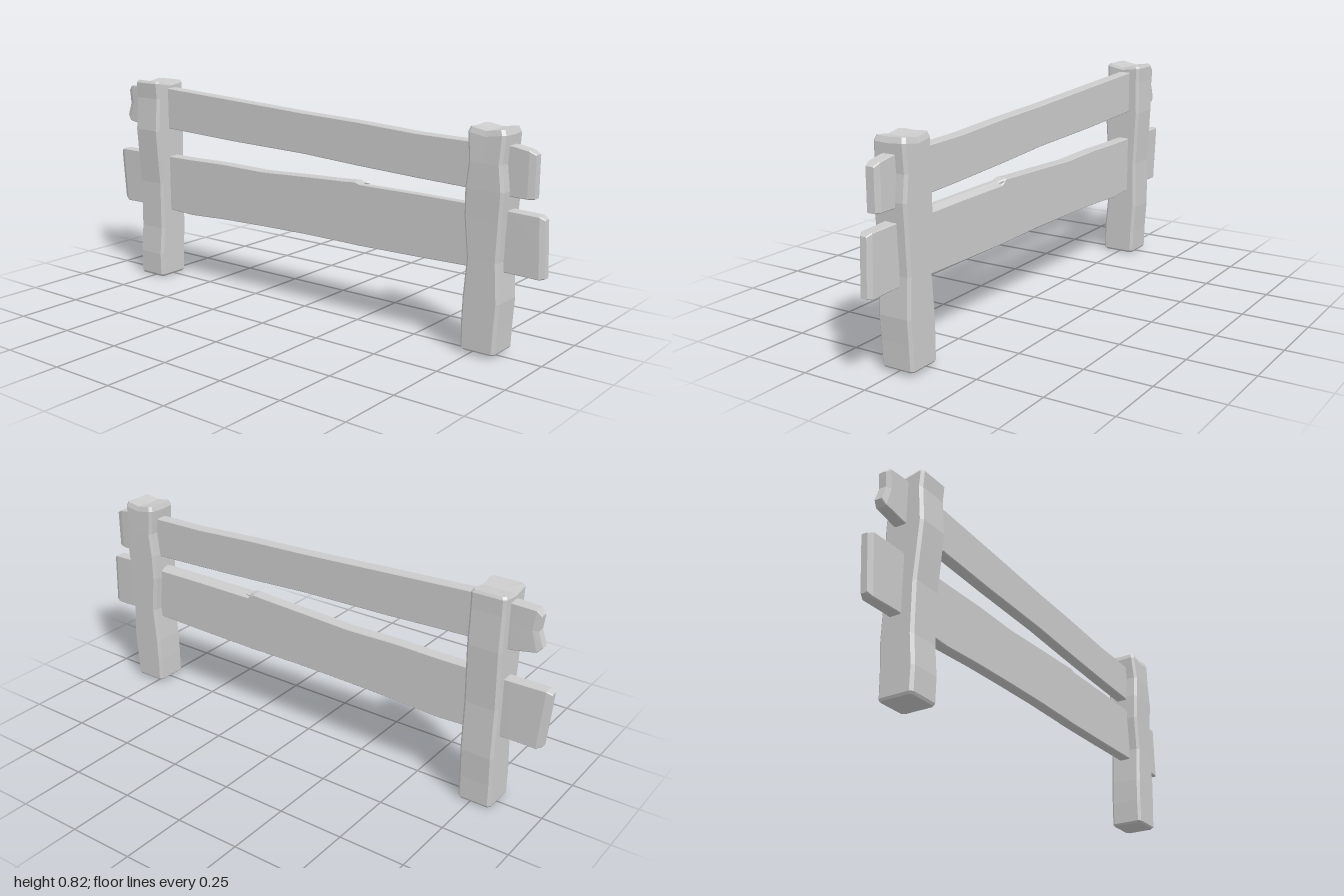
import * as THREE from 'three';

const material = new THREE.MeshStandardMaterial({ color: 0xcccccc, flatShading: true, side: THREE.DoubleSide });

// Bevelled rectangle, counter-clockwise, with a midpoint on every side.
function ring(u0, u1, v0, v1, c) {
  const um = (u0 + u1) / 2, vm = (v0 + v1) / 2;
  return [
    [u0 + c, v0], [um, v0], [u1 - c, v0], [u1, v0 + c], [u1, vm], [u1, v1 - c],
    [u1 - c, v1], [um, v1], [u0 + c, v1], [u0, v1 - c], [u0, vm], [u0, v0 + c],
  ];
}

// Skin sections [t, u0, u1, v0, v1, bevel] into a closed timber; place(u, v, t) gives x, y, z.
function timber(name, sections, place) {
  const pos = [], index = [], n = 12, last = sections.length - 1;
  for (const [t, u0, u1, v0, v1, c] of sections) {
    for (const [u, v] of ring(u0, u1, v0, v1, c)) pos.push(...place(u, v, t));
  }
  for (let s = 0; s < last; s++) {
    for (let i = 0; i < n; i++) {
      const a = s * n + i, b = s * n + (i + 1) % n;
      index.push(a, b, b + n, a, b + n, a + n);
    }
  }
  // End caps fan out from a centre point
  for (const s of [0, last]) {
    const [t, u0, u1, v0, v1] = sections[s];
    const centre = pos.length / 3;
    pos.push(...place((u0 + u1) / 2, (v0 + v1) / 2, t));
    for (let i = 0; i < n; i++) {
      const a = s * n + i, b = s * n + (i + 1) % n;
      if (s === 0) index.push(centre, b, a);
      else index.push(centre, a, b);
    }
  }
  const g = new THREE.BufferGeometry();
  g.setAttribute('position', new THREE.Float32BufferAttribute(pos, 3));
  g.setIndex(index);
  const flat = g.toNonIndexed();
  flat.computeVertexNormals();
  const mesh = new THREE.Mesh(flat, material);
  mesh.name = name;
  return mesh;
}

// Post from rows [y, z0, z1, x0, x1]; top(x, z) roughens the upper end.
function post(name, rows, top) {
  const yTop = rows[rows.length - 1][0];
  const sections = rows.map((r) => [...r, 0.01]);
  return timber(name, sections, (z, x, y) => [x, y > yTop - 0.02 ? y + top(x, z) : y, z]);
}

// Plank from rows [z, y0, y1, inset]; warp(x, y, z) can chip corners or skew ends.
function plank(name, rows, warp) {
  const sections = rows.map(([z, y0, y1, inset = 0]) => [z, -0.014 + inset, 0.033 - inset, y0, y1, 0.003]);
  return timber(name, sections, warp);
}

export function createModel() {
  const group = new THREE.Group();

  // Front post, wavy along its depth
  group.add(post('frontPost', [
    [0.015, 0.725, 0.845, -0.05, 0.068],
    [0.022, 0.718, 0.85, -0.056, 0.073],
    [0.11, 0.717, 0.854, -0.056, 0.073],
    [0.2, 0.72, 0.86, -0.056, 0.073],
    [0.34, 0.731, 0.851, -0.056, 0.073],
    [0.48, 0.717, 0.857, -0.057, 0.073],
    [0.58, 0.718, 0.863, -0.06, 0.073],
    [0.67, 0.728, 0.852, -0.059, 0.073],
    [0.76, 0.718, 0.858, -0.054, 0.072],
    [0.779, 0.724, 0.85, -0.048, 0.066],
  ], (x, z) => 0.005 * Math.cos((z - 0.72) * 45) - 0.002 * Math.cos(x * 40)));

  // Back post, wavy along its width
  group.add(post('backPost', [
    [0.003, -0.825, -0.706, -0.068, 0.056],
    [0.012, -0.829, -0.7, -0.073, 0.062],
    [0.1, -0.829, -0.7, -0.074, 0.064],
    [0.21, -0.829, -0.7, -0.064, 0.071],
    [0.4, -0.829, -0.7, -0.063, 0.067],
    [0.51, -0.829, -0.7, -0.072, 0.072],
    [0.62, -0.829, -0.7, -0.08, 0.077],
    [0.75, -0.829, -0.7, -0.069, 0.073],
    [0.805, -0.829, -0.7, -0.073, 0.074],
    [0.814, -0.823, -0.706, -0.066, 0.068],
  ], (x) => (Math.abs(x) < 0.03 ? -0.006 : x < 0 ? 0.006 : 0.002)));

  // Upper rail, rising to the back
  group.add(plank('upperRail', [
    [-0.935, 0.655, 0.765, 0.009],
    [-0.915, 0.636, 0.784, 0.002],
    [-0.84, 0.62, 0.787],
    [-0.7, 0.624, 0.79],
    [-0.35, 0.61, 0.773],
    [0, 0.602, 0.755],
    [0.25, 0.588, 0.746],
    [0.5, 0.577, 0.732],
    [0.7, 0.57, 0.729],
    [0.87, 0.561, 0.73],
    [0.925, 0.56, 0.72, 0.001],
    [0.948, 0.562, 0.708, 0.008],
  ], (x, y, z) => [x, y, z < -0.9 ? z + (0.76 - y) * 0.12 * (y < 0.7 ? -1 : 1) : z]));

  // Lower rail, its upper left edge split away in front of the splinter
  group.add(plank('lowerRail', [
    [-0.99, 0.296, 0.5, 0.011],
    [-0.97, 0.285, 0.51, 0.002],
    [-0.85, 0.288, 0.509],
    [-0.58, 0.277, 0.509],
    [-0.4, 0.286, 0.512],
    [-0.2, 0.291, 0.508],
    [0, 0.294, 0.517],
    [0.2, 0.293, 0.525],
    [0.24, 0.292, 0.528],
    [0.265, 0.292, 0.521],
    [0.5, 0.295, 0.521],
    [0.7, 0.299, 0.519],
    [0.87, 0.302, 0.514],
    [0.975, 0.298, 0.51, 0.002],
    [0.993, 0.303, 0.5, 0.011],
  ], (x, y, z) => {
    const chipped = x > 0.028 && y > 0.5 && z > 0.25 && z < 0.8;
    const skew = z < -0.9 ? (0.4 - y) * 0.08 : z > 0.9 ? (0.4 - y) * 0.04 : 0;
    return [x, chipped ? y - 0.012 : y, z + skew];
  }));

  // Splinter lifting from the lower rail
  const splinter = new THREE.Mesh(new THREE.ConeGeometry(0.008, 0.045, 3), material);
  splinter.name = 'splinter';
  splinter.rotation.x = Math.PI / 2;
  splinter.position.set(0.027, 0.518, 0.26);
  group.add(splinter);

  return group;
}
